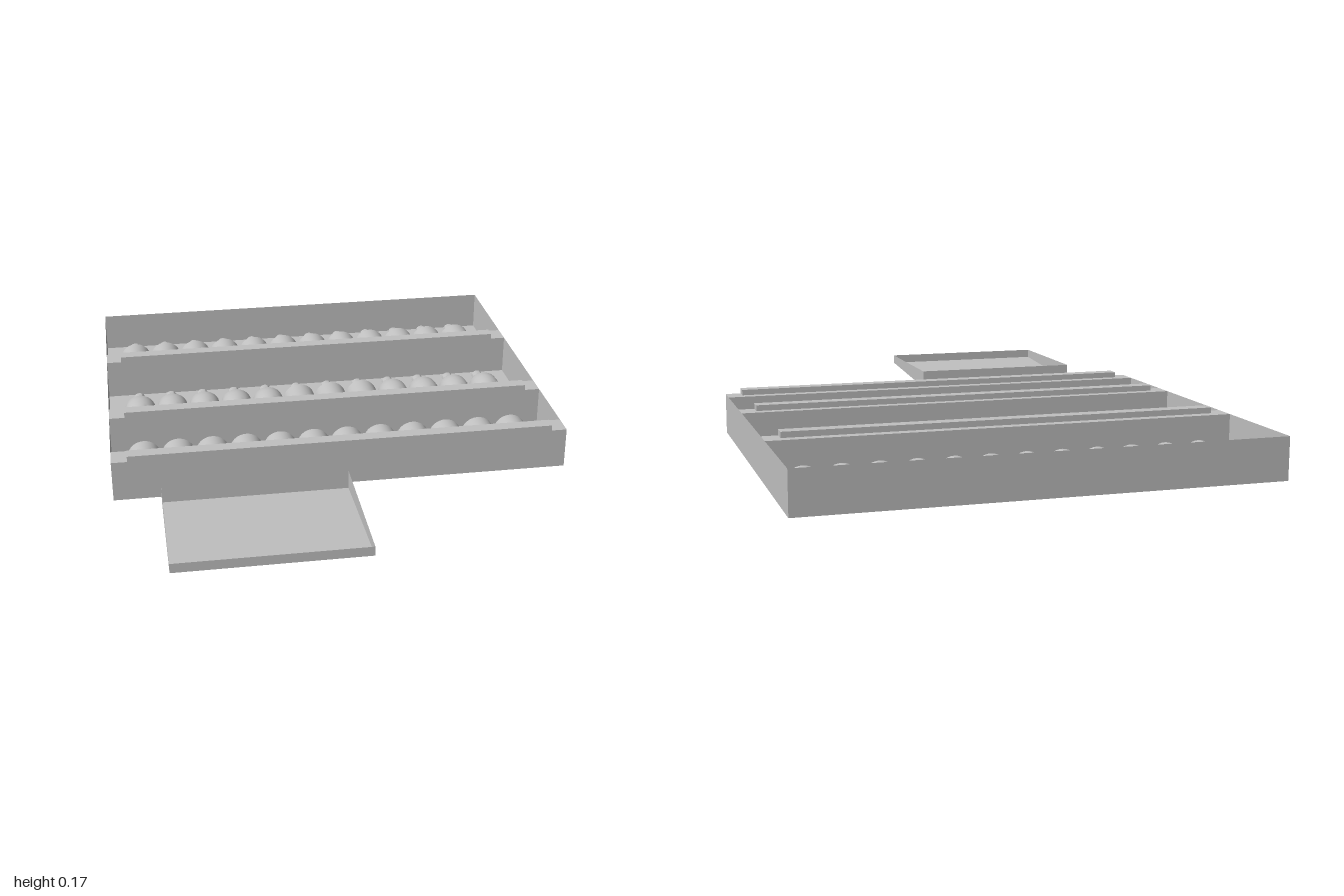
import * as THREE from 'three';
import { toCreasedNormals } from 'three/addons/utils/BufferGeometryUtils.js';

const grey = new THREE.MeshStandardMaterial({ color: 0xc0c0c0, side: THREE.DoubleSide });
grey.name = 'plain grey';

function add(parent, name, geometry, x = 0, y = 0, z = 0) {
  const mesh = new THREE.Mesh(geometry, grey);
  mesh.name = name;
  mesh.position.set(x, y, z);
  parent.add(mesh);
  return mesh;
}

// Box of thin sheets without its top face
function openBox(w, h, d) {
  const g = new THREE.BoxGeometry(w, h, d);
  const index = Array.from(g.index.array);
  index.splice(12, 6);
  g.setIndex(index);
  g.clearGroups();
  return g;
}

// Half bottle lying on its back: profile of [radius, length], neck towards -z
function halfBottle(profile) {
  const points = profile.map(([r, l]) => new THREE.Vector2(r, l));
  const g = new THREE.LatheGeometry(points, 16, -Math.PI / 2, Math.PI);
  g.rotateX(-Math.PI / 2);
  return toCreasedNormals(g, 0.5);
}

const R = 0.061;
const straight = [[0, 0], [R, 0], [R, 0.283], [0.022, 0.342], [0.022, 0.382], [0, 0.382]];
const waisted = [
  [0, 0], [R, 0], [0.058, 0.03], [0.05, 0.075], [0.042, 0.115], [0.039, 0.145],
  [0.044, 0.17], [0.053, 0.195], [0.059, 0.22], [R, 0.25], [0.059, 0.28],
  [0.05, 0.3], [0.022, 0.343], [0.022, 0.382], [0, 0.382],
];
const stub = [[0, 0], [R, 0], [R, 0.228], [0, 0.228]];

export function createModel() {
  const model = new THREE.Group();
  model.name = 'bottleDrawer';

  // Shallow drawer
  add(model, 'drawerBox', openBox(1.6, 0.145, 1.31), 0, 0.0725, -0.345);

  // Cross dividers, each with a narrow rail on its front edge
  for (const [back, front] of [[-0.6, -0.52], [-0.105, -0.028], [0.23, 0.31]]) {
    add(model, 'divider', new THREE.BoxGeometry(1.6, 0.145, front - back), 0, 0.0725, (back + front) / 2);
    add(model, 'dividerRail', new THREE.BoxGeometry(1.49, 0.02, 0.046), 0, 0.155, front - 0.023);
  }

  // Three rows of twelve half bottles
  const straightGeo = halfBottle(straight);
  const waistedGeo = halfBottle(waisted);
  const stubGeo = halfBottle(stub);
  for (let i = 0; i < 12; i++) {
    const x = -0.683 + i * 0.1242;
    add(model, 'backBottle', straightGeo, x, 0, -0.6);
    add(model, 'middleBottle', i >= 5 && i <= 7 ? straightGeo : waistedGeo, x, 0, -0.105);
    add(model, 'frontBottle', stubGeo, x, 0, 0.23);
  }

  // Separate tray whose floor slopes down towards the back
  const tray = openBox(0.62, 0.065, 0.48);
  const p = tray.attributes.position;
  for (let i = 0; i < p.count; i++) {
    if (p.getY(i) < 0 && p.getZ(i) > 0) p.setY(i, p.getY(i) + 0.033);
  }
  tray.computeVertexNormals();
  add(model, 'slopedTray', tray, -0.33, 0.1305, 0.76);

  return model;
}
